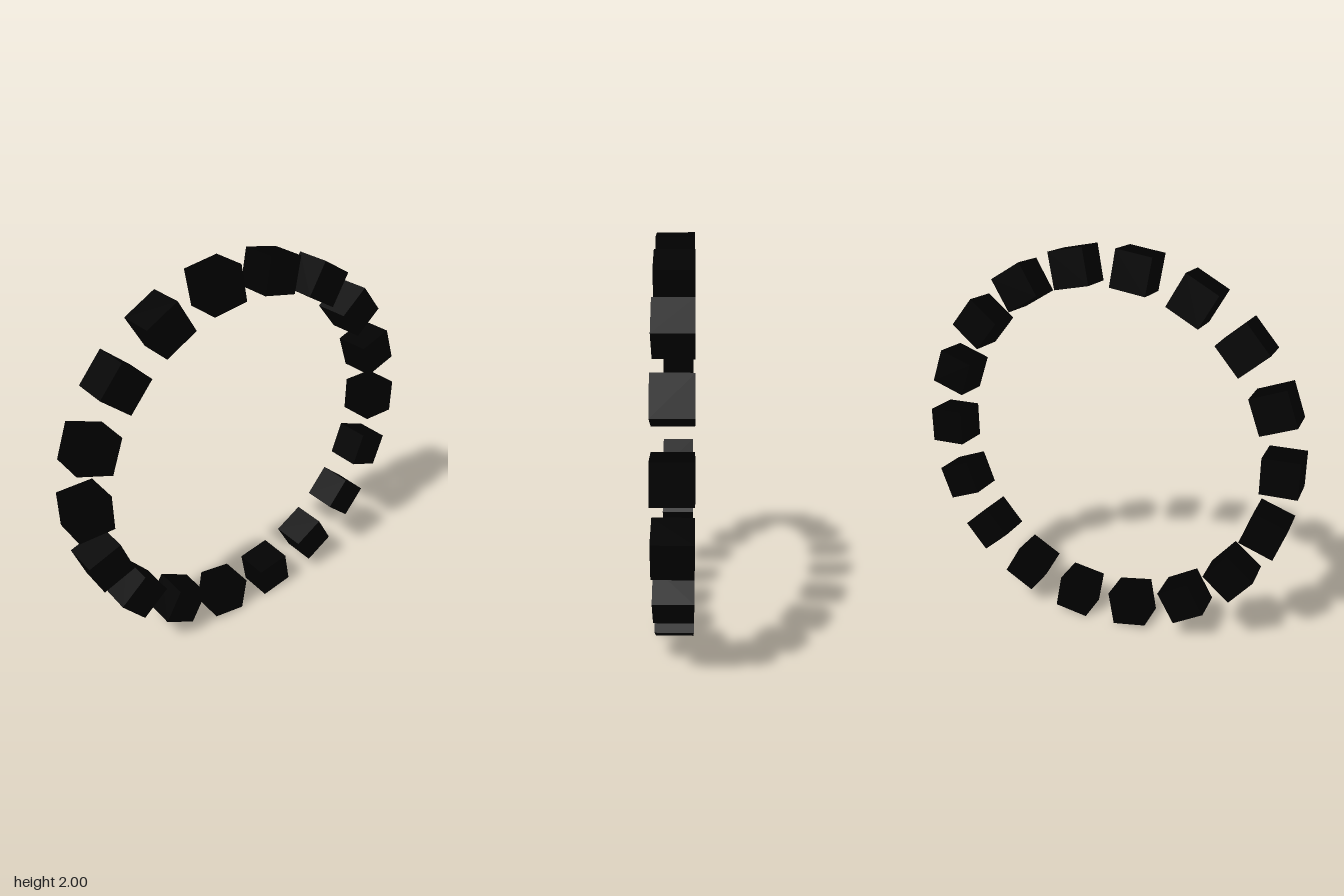
import * as THREE from 'three';

const COUNT = 18;
const SIZE = 2 / 11;        // cube edge
const RADIUS = 1 - SIZE / 2; // ring radius to the cube centres

export function createModel() {
  const model = new THREE.Group();
  model.name = 'cubeRing';

  const geometry = new THREE.BoxGeometry(SIZE, SIZE, SIZE);
  const material = new THREE.MeshStandardMaterial({ color: 0x000000 });

  // Upright ring of cubes, each turned to face the centre
  for (let i = 0; i < COUNT; i++) {
    const angle = (i / COUNT) * Math.PI * 2;
    const cube = new THREE.Mesh(geometry, material);
    cube.name = `cube${i + 1}`;
    cube.position.set(RADIUS * Math.cos(angle), 1 + RADIUS * Math.sin(angle), 0);
    cube.rotation.z = angle;
    model.add(cube);
  }
  return model;
}
